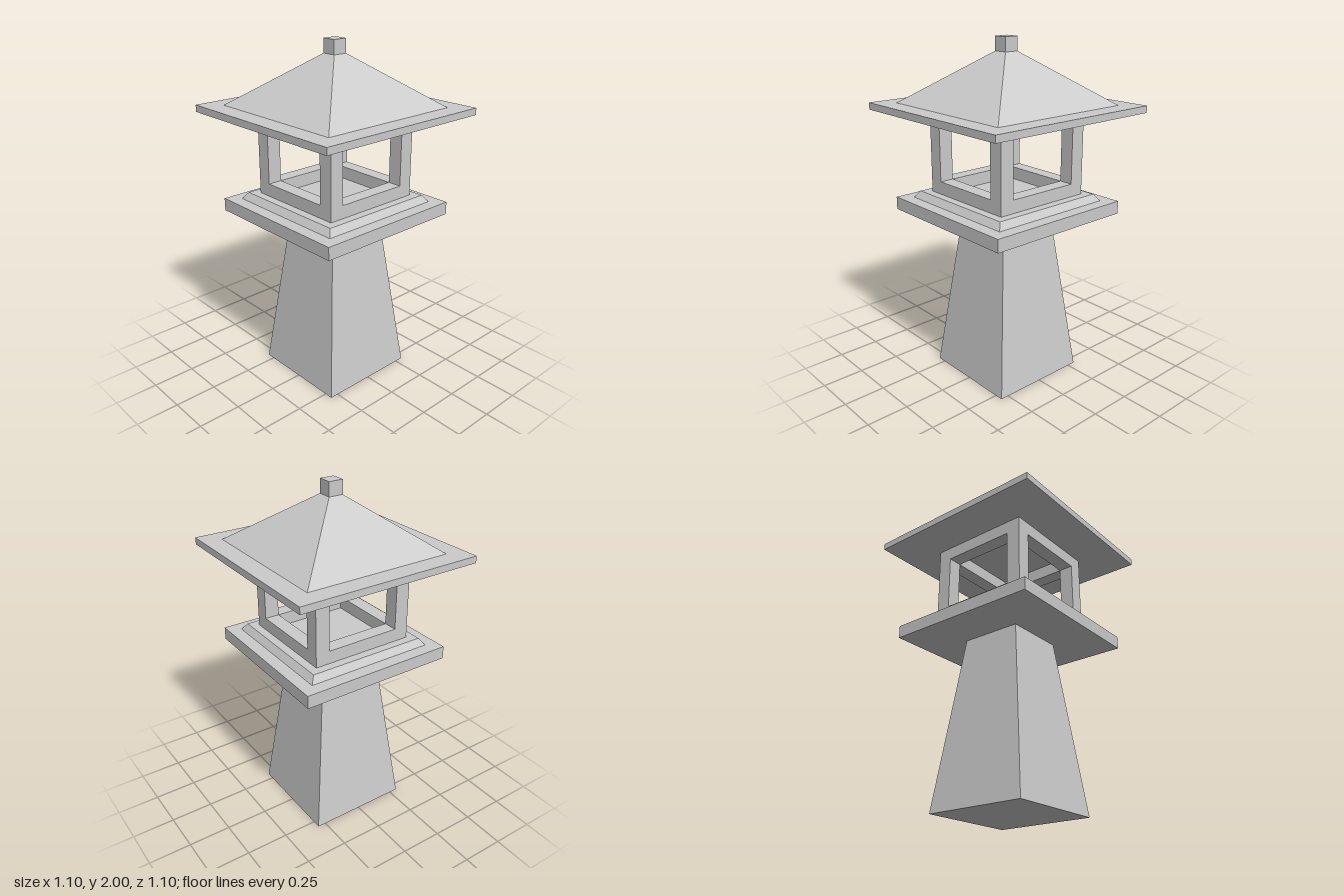
import * as THREE from 'three';

export function createModel() {
  const group = new THREE.Group();
  group.name = 'stoneLantern';
  const material = new THREE.MeshStandardMaterial({ color: 0xcccccc, flatShading: true });

  const add = (name, geometry, parent = group) => {
    const mesh = new THREE.Mesh(geometry, material);
    mesh.name = name;
    parent.add(mesh);
    return mesh;
  };

  // Square block from y0 to y1, with half-widths at bottom and top
  const block = (name, y0, y1, bottom, top = bottom) => {
    const g = new THREE.CylinderGeometry(top * Math.SQRT2, bottom * Math.SQRT2, y1 - y0, 4);
    g.rotateY(Math.PI / 4);
    g.translate(0, (y0 + y1) / 2, 0);
    return add(name, g);
  };

  // Pedestal and platform
  block('pedestal', 0, 1, 0.3, 0.18);
  block('platform', 1, 1.075, 0.457);
  block('platformStep', 1.075, 1.115, 0.383, 0.355);

  // Light chamber: square rings above and below, posts at the corners
  const outer = 0.305, inner = 0.22;
  const chamber = new THREE.Group();
  chamber.name = 'lightChamber';
  group.add(chamber);

  const square = (Type, r) => new Type([[-r, -r], [r, -r], [r, r], [-r, r]].map(([x, y]) => new THREE.Vector2(x, y)));
  const ring = (name, y0, y1) => {
    const shape = square(THREE.Shape, outer);
    shape.holes.push(square(THREE.Path, inner));
    const g = new THREE.ExtrudeGeometry(shape, { depth: y1 - y0, bevelEnabled: false });
    g.rotateX(-Math.PI / 2);
    g.translate(0, y0, 0);
    add(name, g, chamber);
  };
  ring('lowerRail', 1.115, 1.19);
  ring('upperRail', 1.515, 1.59);

  const postWidth = outer - inner, postCentre = (outer + inner) / 2;
  for (const sx of [-1, 1]) {
    for (const sz of [-1, 1]) {
      add('cornerPost', new THREE.BoxGeometry(postWidth, 0.325, postWidth), chamber)
        .position.set(sx * postCentre, 1.3525, sz * postCentre);
    }
  }

  // Roof and finial
  block('eaves', 1.59, 1.63, 0.548);
  block('roof', 1.63, 1.92, 0.437, 0.043);
  block('finial', 1.92, 2, 0.043);

  return group;
}
